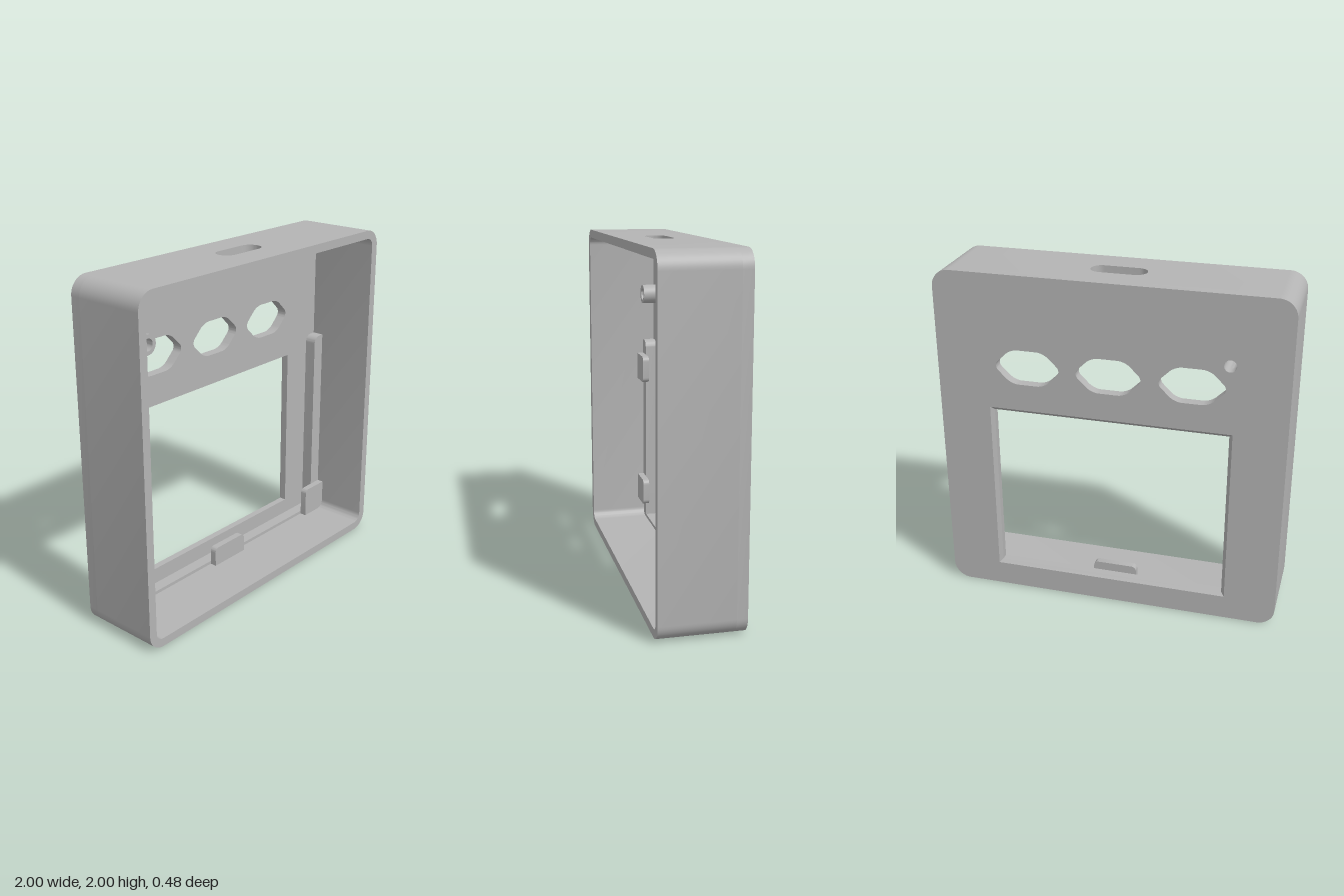
import * as THREE from 'three';
import { toCreasedNormals } from 'three/addons/utils/BufferGeometryUtils.js';

const BACK = -0.24, FLOOR = -0.18, FRONT = 0.24;
const RAIL = -0.11, CLIP = -0.07;
const WIN = { x: 0.68, y0: 0.165, y1: 1.185, chamfer: 0.02 };
const POST = { x: -0.67, y: 1.605, bore: 0.035 };

// Closed outline from [x, y, cornerRadius] points
function outline(pts, path = new THREE.Shape()) {
  const n = pts.length, k = 0.5523;
  pts.forEach(([x, y, r = 0], i) => {
    const p = new THREE.Vector2(x, y);
    const toward = (q, d) => p.clone().add(new THREE.Vector2(q[0], q[1]).sub(p).setLength(d));
    const prev = pts[(i + n - 1) % n], next = pts[(i + 1) % n];
    const a = r ? toward(prev, r) : p, b = r ? toward(next, r) : p;
    if (i === 0) path.moveTo(a.x, a.y); else path.lineTo(a.x, a.y);
    if (r) {
      const c = toward(prev, r * (1 - k)), d = toward(next, r * (1 - k));
      path.bezierCurveTo(c.x, c.y, d.x, d.y, b.x, b.y);
    }
  });
  path.closePath();
  return path;
}

const rect = (x0, y0, x1, y1, r = 0) => [[x0, y0, r], [x1, y0, r], [x1, y1, r], [x0, y1, r]];
const hole = (pts) => outline(pts, new THREE.Path());

function extrude(shape, z0, z1) {
  const g = new THREE.ExtrudeGeometry(shape, { depth: z1 - z0, bevelEnabled: false, curveSegments: 10 });
  g.translate(0, 0, z0);
  return toCreasedNormals(g, 0.6);
}

// Chamfered lip around the window, lofted through rectangular loops
function windowLip() {
  const c = WIN.chamfer;
  const loops = [[c, FLOOR], [0, FLOOR], [0, BACK + c], [c, BACK]].map(([o, z]) => [
    [-WIN.x - o, WIN.y0 - o, z], [WIN.x + o, WIN.y0 - o, z],
    [WIN.x + o, WIN.y1 + o, z], [-WIN.x - o, WIN.y1 + o, z]]);
  const pos = [];
  for (let l = 0; l < 3; l++) {
    for (let i = 0; i < 4; i++) {
      const j = (i + 1) % 4;
      const [a, b, c2, d] = [loops[l][i], loops[l][j], loops[l + 1][j], loops[l + 1][i]];
      pos.push(...a, ...b, ...c2, ...a, ...c2, ...d);
    }
  }
  const g = new THREE.BufferGeometry();
  g.setAttribute('position', new THREE.Float32BufferAttribute(pos, 3));
  g.computeVertexNormals();
  return g;
}

export function createModel() {
  const group = new THREE.Group();
  group.name = 'enclosure';
  const grey = new THREE.MeshStandardMaterial({ color: 0xb4b4b4 });
  grey.name = 'grey plastic';
  const add = (name, geometry) => {
    const m = new THREE.Mesh(geometry, grey);
    m.name = name;
    group.add(m);
    return m;
  };

  // Back plate with window, three button openings and the post bore
  const plate = outline(rect(-1, 0, 1, 2, 0.1));
  const c = WIN.chamfer;
  plate.holes.push(hole(rect(-WIN.x - c, WIN.y0 - c, WIN.x + c, WIN.y1 + c)));
  for (const x of [-0.468, 0, 0.466]) {
    plate.holes.push(hole([
      [x - 0.2, 1.467, 0.04], [x - 0.095, 1.364, 0.04], [x + 0.095, 1.364, 0.04],
      [x + 0.2, 1.467, 0.04], [x + 0.095, 1.57, 0.04], [x - 0.095, 1.57, 0.04]]));
  }
  const bore = new THREE.Path();
  bore.absarc(POST.x, POST.y, POST.bore, 0, Math.PI * 2, true);
  plate.holes.push(bore);
  add('backPlate', extrude(plate, BACK, FLOOR));
  add('windowLip', windowLip());

  // Side walls, open at the top centre where the slotted panel sits
  const s = 0.3;
  add('sideWalls', extrude(outline([
    [-s, 2], [-1, 2, 0.1], [-1, 0, 0.1], [1, 0, 0.1], [1, 2, 0.1], [s, 2],
    [s, 1.95], [0.95, 1.95, 0.05], [0.95, 0.05, 0.05],
    [-0.95, 0.05, 0.05], [-0.95, 1.95, 0.05], [-s, 1.95]]), FLOOR, FRONT));

  // Top panel with a rounded slot
  const top = outline(rect(-s, FLOOR, s, FRONT));
  top.holes.push(hole(rect(-0.16, -0.062, 0.16, 0.062, 0.0615)));
  const panel = extrude(top, 0, 0.05);
  panel.rotateX(Math.PI / 2).translate(0, 2, 0);
  add('topSlotPanel', panel);

  // Board support rails
  for (const side of [-1, 1]) {
    add(side < 0 ? 'rightRail' : 'leftRail', extrude(outline([
      [side * 0.96, 0.04], [side * 0.87, 0.04], [side * 0.87, 1.272, 0.045],
      [side * 0.96, 1.272]]), FLOOR, RAIL));
  }
  add('bottomRail', extrude(outline(rect(-0.87, 0.04, 0.87, 0.07)), FLOOR, RAIL));

  // Retaining clips overhanging the rails
  for (const [y0, y1] of [[0.172, 0.34], [1.01, 1.18]]) {
    add('sideClip', extrude(outline([
      [-0.96, y0], [-0.77, y0, 0.03], [-0.77, y1, 0.03], [-0.96, y1]]), RAIL, CLIP));
  }
  add('bottomClip', extrude(outline([
    [-0.135, 0.04], [0.13, 0.04], [0.13, 0.168, 0.03], [-0.135, 0.168, 0.03]]), RAIL, CLIP));
  add('cornerClip', extrude(outline([
    [0.765, 0.04], [0.96, 0.04], [0.96, 0.235], [0.765, 0.235, 0.03]]), RAIL, CLIP));

  // Hollow screw post with a flared foot
  const profile = [
    [POST.bore, 0], [0.072, 0], [0.072, 0.015], [0.058, 0.03],
    [0.058, 0.135], [POST.bore, 0.135], [POST.bore, 0]].map(([r, y]) => new THREE.Vector2(r, y));
  const post = toCreasedNormals(new THREE.LatheGeometry(profile, 32).toNonIndexed(), 0.5);
  post.rotateX(Math.PI / 2).translate(POST.x, POST.y, FLOOR);
  add('screwPost', post);

  return group;
}
